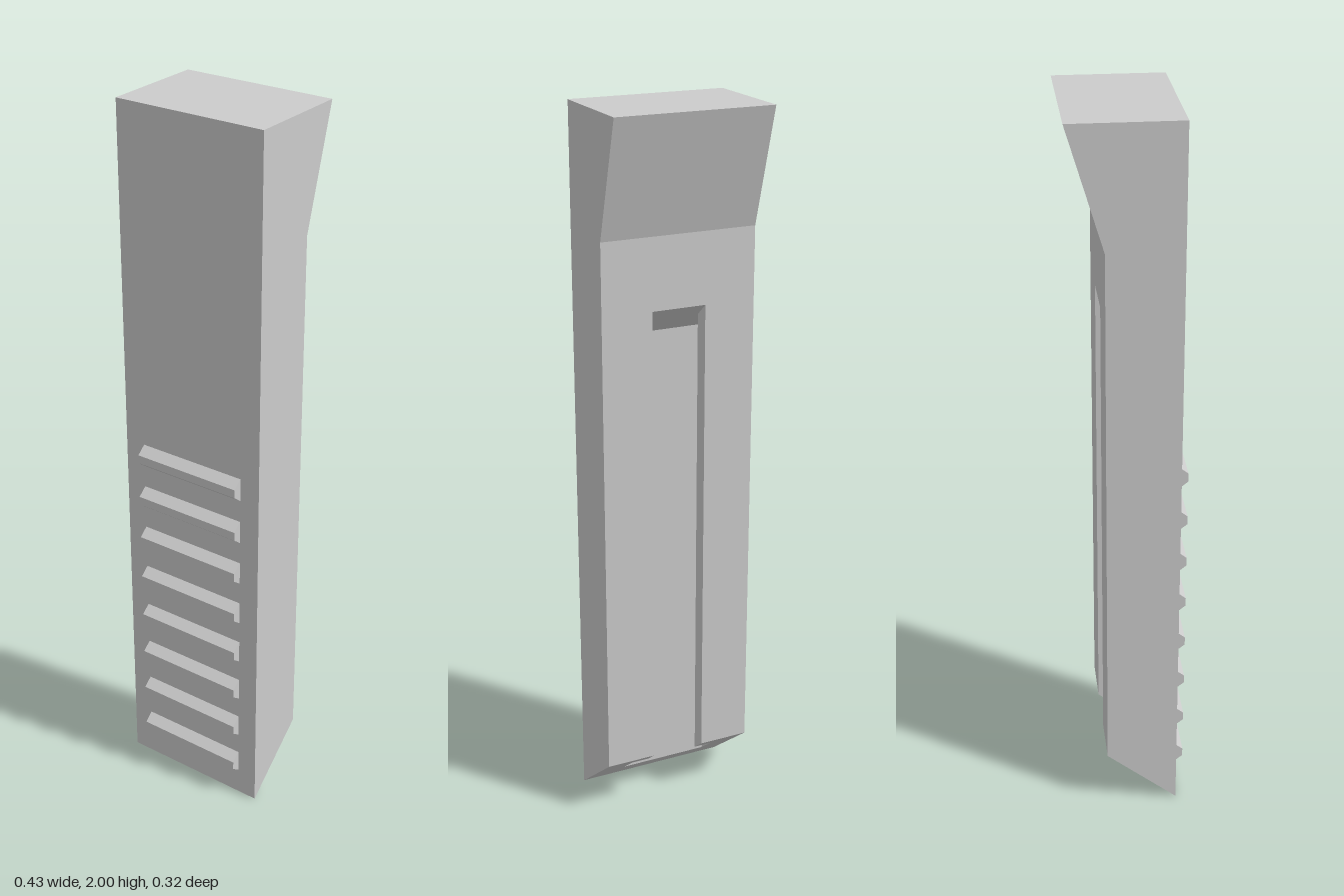
import * as THREE from 'three';

const material = new THREE.MeshStandardMaterial({ color: 0xcccccc, flatShading: true });

const HALF = 0.216;            // half width of the body
const FRONT = 0.133;           // front face z
const BACK = -0.064;           // back face z
const RISE = 0.163;            // height of the bevelled foot at the back
const SLOPE = RISE / (FRONT - BACK);
const SLOT = 1.322;            // length of the T-slot, along y

// Extrudes a (z, y) side profile across x, centred
function sideExtrude(points, width) {
  const shape = new THREE.Shape(points.map(([z, y]) => new THREE.Vector2(z, y)));
  const geo = new THREE.ExtrudeGeometry(shape, { depth: width, bevelEnabled: false });
  geo.translate(0, 0, -width / 2);
  geo.rotateY(-Math.PI / 2);
  return geo;
}

function addMesh(parent, name, geo) {
  const mesh = new THREE.Mesh(geo, material);
  mesh.name = name;
  parent.add(mesh);
  return mesh;
}

// Lower body: section with a T-slot open to the back, sheared to the foot bevel
function slottedGeometry() {
  const neck = 0.075, wide = 0.127;
  const lip = BACK + 0.044, floor = BACK + 0.102;
  const half = [[HALF, FRONT], [HALF, BACK], [neck, BACK], [neck, lip], [wide, lip], [wide, floor]];
  const outline = [...half, ...half.map(([x, z]) => [-x, z]).reverse()];
  const shape = new THREE.Shape(outline.map(([x, z]) => new THREE.Vector2(x, -z)));
  const geo = new THREE.ExtrudeGeometry(shape, { depth: SLOT, bevelEnabled: false });
  geo.rotateX(-Math.PI / 2);
  const p = geo.attributes.position;
  for (let i = 0; i < p.count; i++) p.setY(i, p.getY(i) + (FRONT - p.getZ(i)) * SLOPE);
  geo.computeVertexNormals();
  return geo;
}

export function createModel() {
  const model = new THREE.Group();
  model.name = 'slottedGrip';

  addMesh(model, 'slottedBody', slottedGeometry());

  // Solid head that flares backwards and closes the slot with a sloping ceiling
  addMesh(model, 'flaredHead', sideExtrude([
    [FRONT, SLOT], [FRONT, 2], [-0.16, 2], [BACK, 1.68], [BACK, SLOT + RISE],
  ], HALF * 2));

  // Row of chamfered ribs on the front
  const ribs = new THREE.Group();
  ribs.name = 'gripRibs';
  const ribGeo = sideExtrude([
    [FRONT, -0.033], [0.159, -0.012], [0.159, 0.012], [FRONT, 0.033],
  ], 0.316);
  for (let i = 0; i < 8; i++) {
    addMesh(ribs, 'rib' + (i + 1), ribGeo).position.y = 0.113 + i * 0.1304;
  }
  model.add(ribs);

  return model;
}
